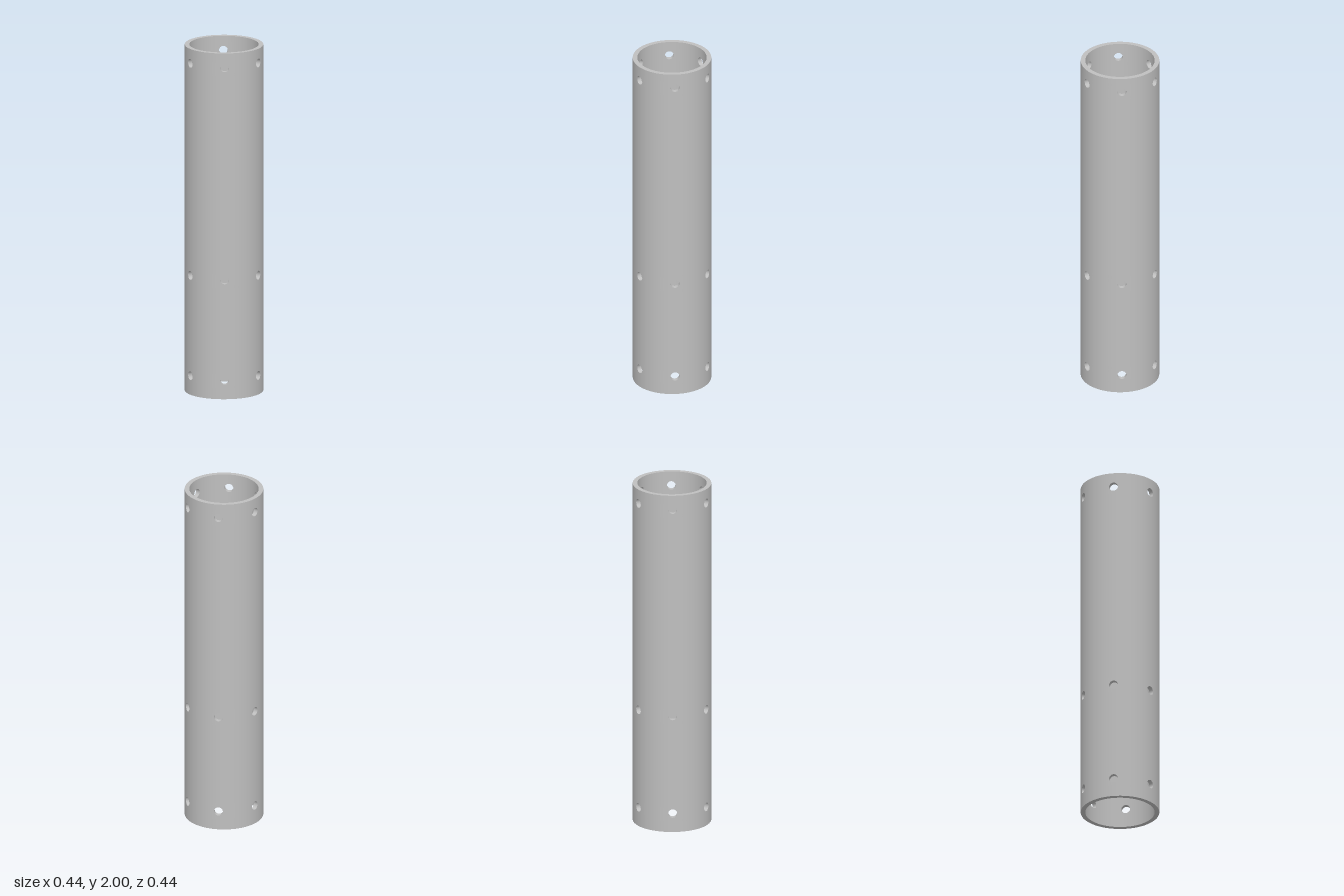
import * as THREE from 'three';
import { mergeGeometries } from 'three/addons/utils/BufferGeometryUtils.js';
import { ParametricGeometry } from 'three/addons/geometries/ParametricGeometry.js';

const OUTER = 0.221, INNER = 0.195, HEIGHT = 2;
const HOLE = 0.025, BAND = 0.05;      // hole radius, half height of a drilled band
const ROWS = [0.11, 0.69, 1.917];     // heights of the hole rows
const SECTORS = 6, STEPS = 12;        // holes per row, facets per sector
const HALF = Math.PI / SECTORS;

// point on a cylinder of radius r
const onTube = (r, angle, y, p) => p.set(r * Math.cos(angle), y, -r * Math.sin(angle));

// plain stretch of wall, facing out or in
function plainBand(r, y0, y1, outward) {
  return new ParametricGeometry((u, v, p) => {
    const t = outward ? v : 1 - v;
    onTube(r, u * Math.PI * 2, y0 + (y1 - y0) * t, p);
  }, SECTORS * STEPS, 1);
}

// flat ring closing one end of the tube
function endRing(y, up) {
  return new ParametricGeometry((u, v, p) => {
    const t = up ? 1 - v : v;
    onTube(INNER + (OUTER - INNER) * t, u * Math.PI * 2, y, p);
  }, SECTORS * STEPS, 1);
}

// perimeter of a -1..1 square, counterclockwise from the lower right corner
function square(u) {
  const side = Math.min(3, Math.floor(u * 4));
  const t = (u * 4 - side) * 2 - 1;
  return [[1, t], [-t, 1], [-1, -t], [t, -1]][side];
}

// rim of a straight drilled hole on a wall of radius r, as angle and height
function rim(u, r) {
  const a = u * Math.PI * 2 - Math.PI / 4;
  return [Math.asin(HOLE * Math.cos(a) / r), HOLE * Math.sin(a)];
}

// sector of wall blending from the round rim to its rectangular border
function drilledPatch(r, angle, y, outward) {
  return new ParametricGeometry((u, v, p) => {
    const t = outward ? 1 - v : v;
    const [sx, sy] = square(u), [a, h] = rim(u, r);
    onTube(r, angle + a + (sx * HALF - a) * t, y + h + (sy * BAND - h) * t, p);
  }, STEPS * 4, 8);
}

// inside of a hole, running through the wall
function bore(angle, y) {
  return new ParametricGeometry((u, v, p) => {
    const r = OUTER + (INNER - OUTER) * v;
    const [a, h] = rim(u, r);
    onTube(r, angle + a, y + h, p);
  }, STEPS * 4, 1);
}

export function createModel() {
  const group = new THREE.Group();
  group.name = 'drilledTube';
  const grey = new THREE.MeshStandardMaterial({ color: 0xbfbfbf });
  grey.name = 'grey';
  const add = (name, parts) => {
    const mesh = new THREE.Mesh(mergeGeometries(parts), grey);
    mesh.name = name;
    group.add(mesh);
  };

  // outer and inner walls: plain bands alternating with drilled rows
  for (const [name, r, outward] of [['outerWall', OUTER, true], ['innerWall', INNER, false]]) {
    const parts = [];
    let from = 0;
    for (const y of ROWS) {
      parts.push(plainBand(r, from, y - BAND, outward));
      for (let i = 0; i < SECTORS; i++) parts.push(drilledPatch(r, i * HALF * 2, y, outward));
      from = y + BAND;
    }
    parts.push(plainBand(r, from, HEIGHT, outward));
    add(name, parts);
  }

  // hole linings
  const bores = [];
  for (const y of ROWS) {
    for (let i = 0; i < SECTORS; i++) bores.push(bore(i * HALF * 2, y));
  }
  add('holeLinings', bores);

  // tube ends
  add('topRim', [endRing(HEIGHT, true)]);
  add('bottomRim', [endRing(0, false)]);
  return group;
}
